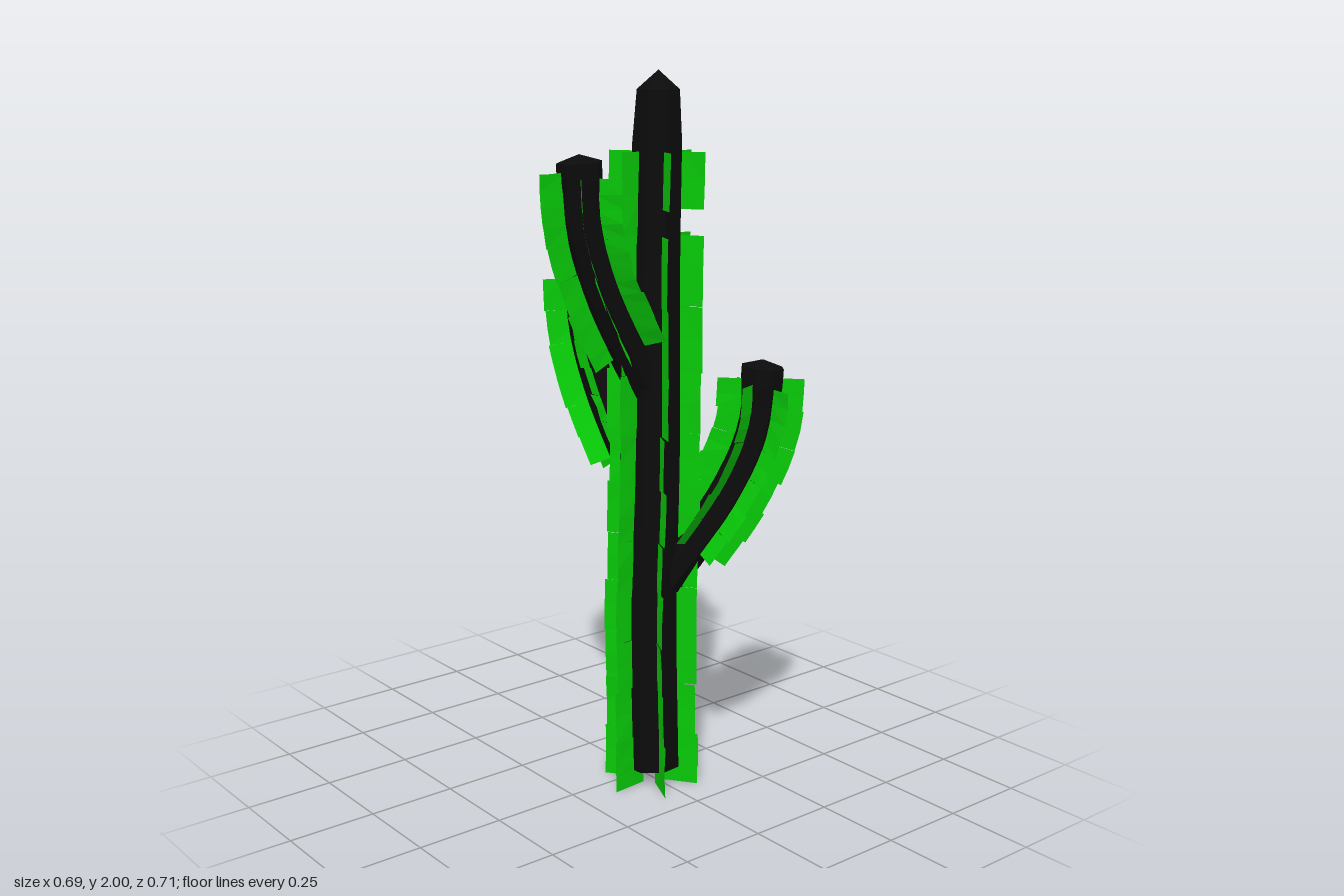
import * as THREE from 'three';

const skin = new THREE.MeshStandardMaterial({ color: 0x0b0b0b, flatShading: true });
const finGreen = new THREE.MeshStandardMaterial({ color: 0x08c808, flatShading: true, side: THREE.DoubleSide });
const UP = new THREE.Vector3(0, 1, 0);

// Small seeded generator for the hand-cut look of the fins
let seed = 7;
const jitter = (amount) => {
  seed = (seed * 16807) % 2147483647;
  return (seed / 2147483647 - 0.5) * 2 * amount;
};

// Point at distance r and angle a around the curve; a = 0 faces the outward direction
function around(curve, outward, u, a, r) {
  const tangent = curve.getTangentAt(u);
  const side = new THREE.Vector3().crossVectors(UP, outward);
  const normal = new THREE.Vector3().crossVectors(side, tangent).normalize();
  return curve.getPointAt(u)
    .addScaledVector(normal, r * Math.cos(a))
    .addScaledVector(side, r * Math.sin(a));
}

function geometry(points, index) {
  const g = new THREE.BufferGeometry().setFromPoints(points);
  g.setIndex(index);
  g.computeVertexNormals();
  return g;
}

// Eight-sided stem with a flat foot and a pointed cap
function stemCore(curve, outward, radiusAt, capHeight) {
  const sides = 8, rings = 14, points = [], index = [];
  for (let i = 0; i <= rings; i++) {
    const u = i / rings;
    for (let s = 0; s < sides; s++) {
      points.push(around(curve, outward, u, ((s + 0.5) / sides) * Math.PI * 2, radiusAt(u)));
    }
  }
  const foot = points.push(curve.getPointAt(0)) - 1;
  const tip = points.push(curve.getPointAt(1).add(new THREE.Vector3(0, capHeight, 0))) - 1;
  for (let s = 0; s < sides; s++) {
    const n = (s + 1) % sides, top = rings * sides;
    for (let i = 0; i < rings; i++) {
      const a = i * sides + s, b = i * sides + n;
      index.push(a, b, a + sides, b, b + sides, a + sides);
    }
    index.push(foot, n, s, top + s, top + n, tip);
  }
  return geometry(points, index);
}

// One fin: a row of thin plates standing out from the stem
function fin(curve, outward, angle, inner, outer, spans) {
  const points = [], index = [];
  for (const [from, to] of spans) {
    const reach = outer + jitter(0.005), twist = angle + jitter(0.03);
    const first = points.length;
    for (let i = 0; i <= 2; i++) {
      const u = from + ((to - from) * i) / 2;
      points.push(around(curve, outward, u, twist, inner), around(curve, outward, u, twist + jitter(0.02), reach));
    }
    for (let i = first; i < first + 4; i += 2) index.push(i, i + 1, i + 2, i + 1, i + 3, i + 2);
  }
  return geometry(points, index);
}

function addStem(name, curve, outward, radiusAt, capHeight, finReach, spansFor) {
  const stem = new THREE.Group();
  stem.name = name;
  const core = new THREE.Mesh(stemCore(curve, outward, radiusAt, capHeight), skin);
  core.name = name + 'Core';
  stem.add(core);
  for (let k = 0; k < 6; k++) {
    const mesh = new THREE.Mesh(
      fin(curve, outward, (k * Math.PI) / 3, radiusAt(0.5) * 0.7, finReach, spansFor(k)), finGreen);
    mesh.name = name + 'Fin';
    stem.add(mesh);
  }
  return stem;
}

export function createModel() {
  const cactus = new THREE.Group();
  cactus.name = 'cactus';

  // Trunk, slightly wavy, narrowing toward the top
  const trunkCurve = new THREE.CatmullRomCurve3([
    [-0.005, 0.05, 0.055], [-0.008, 0.5, 0.05], [0, 1, 0.056], [0.004, 1.5, 0.052], [0.01, 1.95, 0.057],
  ].map((p) => new THREE.Vector3(...p)));
  const trunkLevels = [0.05, 0.15, 0.3, 0.44, 0.59, 0.73, 0.88, 1.03, 1.2, 1.38, 1.57];
  const trunkU = (y) => (y - 0.05) / 1.9;
  const trunkSpans = (k) => {
    const spans = trunkLevels.slice(1).map((y, i) => [trunkU(trunkLevels[i]), trunkU(y)]);
    // Upper plates sit above a gap on most fins
    spans.push([trunkU(k === 2 || k === 3 ? 1.57 : 1.64), trunkU(1.79)]);
    return spans;
  };
  const trunkFacing = new THREE.Vector3(1, 0, -0.09).normalize();
  cactus.add(addStem('trunk', trunkCurve, trunkFacing,
    (u) => (u > 0.95 ? 0.061 : 0.082 - 0.012 * u), 0.05, 0.131, trunkSpans));

  // Foot plates reach the ground below the trunk core
  const footCurve = new THREE.LineCurve3(new THREE.Vector3(-0.005, 0, 0.055), new THREE.Vector3(-0.005, 0.15, 0.055));
  for (let k = 0; k < 6; k++) {
    const foot = new THREE.Mesh(fin(footCurve, trunkFacing, (k * Math.PI) / 3, 0.035, 0.138, [[0, 1]]), finGreen);
    foot.name = 'footPlate';
    cactus.add(foot);
  }

  // Arms: tip position and height; each sweeps out of the trunk and turns upright
  const arms = [
    ['leftArm', 0.235, 1.23, 0.235],
    ['rightArm', -0.235, 1.79, 0.035],
    ['backArm', -0.02, 1.48, -0.235],
  ];
  for (const [name, x, top, z] of arms) {
    const base = new THREE.Vector3(0, 0, 0.053);
    const reach = new THREE.Vector3(x, 0, z).sub(base);
    const curve = new THREE.CatmullRomCurve3(
      [[0.1, -0.63], [0.35, -0.53], [0.72, -0.36], [0.95, -0.19], [1, -0.02]].map(
        ([f, dy]) => base.clone().addScaledVector(reach, f).setY(top + dy)));
    const armSpans = () => {
      const end = 0.94 + jitter(0.025), plates = 6;
      return Array.from({ length: plates }, (_, i) => [
        0.19 + ((end - 0.19) * i) / plates, 0.19 + ((end - 0.19) * (i + 1)) / plates]);
    };
    cactus.add(addStem(name, curve, reach.clone().normalize(),
      (u) => (u > 0.9 ? 0.06 : 0.056), 0.02, 0.118, armSpans));
  }
  return cactus;
}
